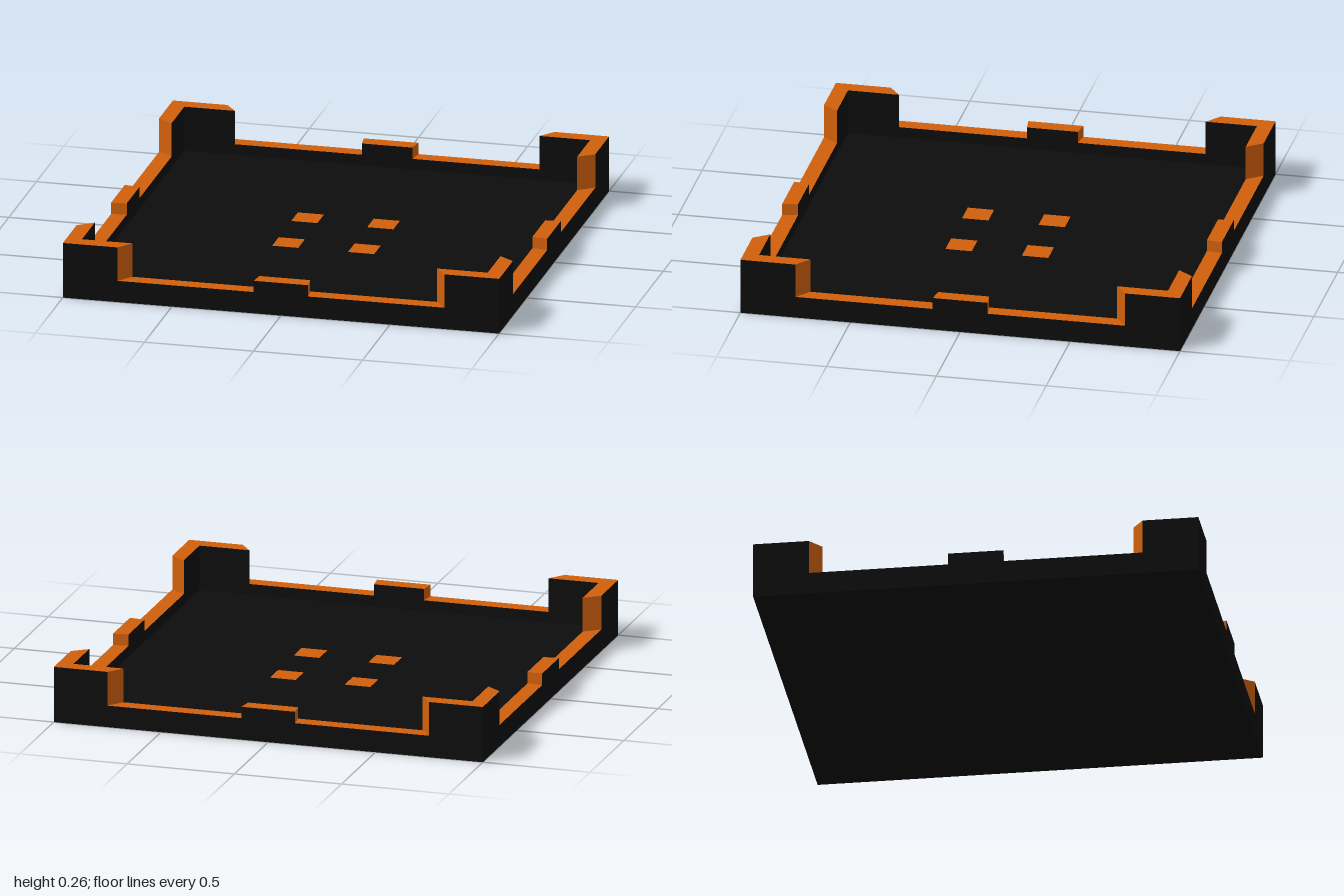
import * as THREE from 'three';

const INNER = 0.93;   // inner wall outline as a share of the outer one
const FLOOR = 0.05;
const TOWER = 0.257, RIM = 0.1, STEP = 0.153;

// Stepped top edge of one wall, from left to right
const EDGE = [
  [-1, TOWER], [-0.75, TOWER], [-0.75, RIM], [-0.125, RIM], [-0.125, STEP],
  [0.125, STEP], [0.125, RIM], [0.75, RIM], [0.75, TOWER], [1, TOWER],
];

// Flat wall face below the stepped edge
function wallFace(scale, bottom) {
  const pts = [[-1, bottom], [1, bottom], ...EDGE.slice().reverse()];
  return new THREE.ShapeGeometry(
    new THREE.Shape(pts.map(([x, y]) => new THREE.Vector2(x * scale, y))));
}

// Ribbon that covers the top of the wall and the slanted ends of its steps
function edgeStrip() {
  const pos = [];
  for (let i = 0; i < EDGE.length - 1; i++) {
    const [[x0, y0], [x1, y1]] = [EDGE[i], EDGE[i + 1]];
    const a = [x0, y0, 1], b = [x1, y1, 1];
    const c = [x1 * INNER, y1, INNER], d = [x0 * INNER, y0, INNER];
    pos.push(...a, ...b, ...c, ...a, ...c, ...d);
  }
  const g = new THREE.BufferGeometry();
  g.setAttribute('position', new THREE.Float32BufferAttribute(pos, 3));
  g.computeVertexNormals();
  return g;
}

export function createModel() {
  const group = new THREE.Group();
  const black = new THREE.MeshStandardMaterial({ color: 0x0d0d0d });
  const orange = new THREE.MeshStandardMaterial({ color: 0xd0600c });

  const add = (parent, name, geometry, material) => {
    const mesh = new THREE.Mesh(geometry, material);
    mesh.name = name;
    parent.add(mesh);
    return mesh;
  };

  // Underside and sunken floor
  add(group, 'underside', new THREE.PlaneGeometry(2, 2).rotateX(Math.PI / 2), black);
  add(group, 'floor', new THREE.PlaneGeometry(2 * INNER, 2 * INNER)
    .rotateX(-Math.PI / 2).translate(0, FLOOR, 0), black);

  // Four identical walls, which meet in the corner towers
  const outer = wallFace(1, 0).translate(0, 0, 1);
  const inner = wallFace(INNER, FLOOR).rotateY(Math.PI).translate(0, 0, INNER);
  const strip = edgeStrip();
  ['front', 'left', 'back', 'right'].forEach((side, i) => {
    const wall = new THREE.Group();
    wall.name = side + 'Wall';
    add(wall, 'outerFace', outer, black);
    add(wall, 'innerFace', inner, black);
    add(wall, 'topEdge', strip, orange);
    wall.rotation.y = i * Math.PI / 2;
    group.add(wall);
  });

  // Four square tiles around the middle of the floor
  const tile = new THREE.PlaneGeometry(0.12, 0.12).rotateX(-Math.PI / 2);
  for (const x of [-1, 1]) for (const z of [-1, 1]) {
    add(group, 'floorTile', tile, orange).position.set(x * 0.174, FLOOR + 0.002, z * 0.174);
  }
  return group;
}
